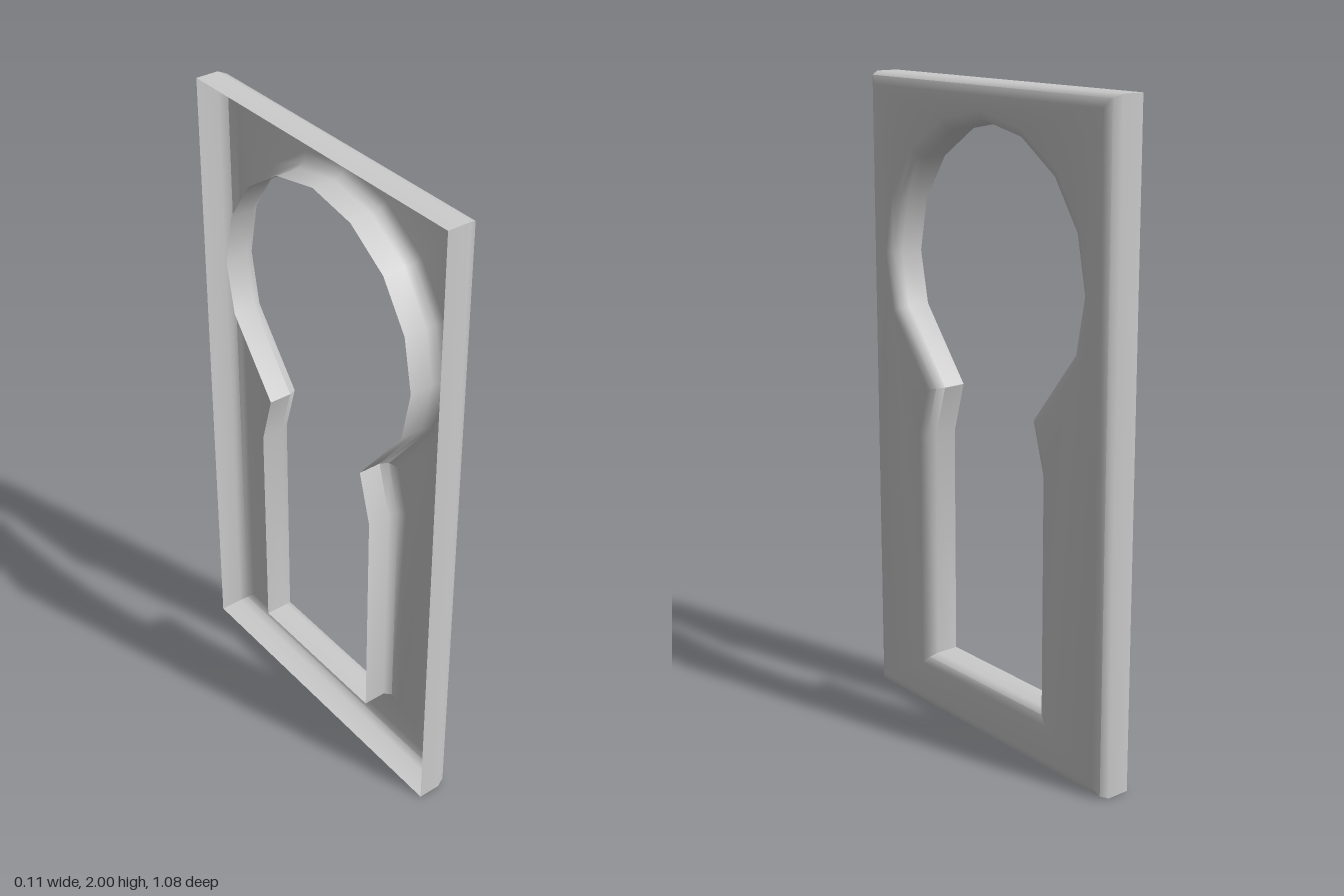
import * as THREE from 'three';
import { mergeGeometries, toCreasedNormals } from 'three/addons/utils/BufferGeometryUtils.js';

const BACK = -0.054, FRONT = 0.054, R = 0.036, STEPS = 2;

// Shift every edge of a closed loop to its left by d, with mitred corners
function offset(loop, d) {
  const n = loop.length;
  return loop.map((p, i) => {
    const a = p.clone().sub(loop[(i + n - 1) % n]).normalize();
    const b = loop[(i + 1) % n].clone().sub(p).normalize();
    const na = new THREE.Vector2(-a.y, a.x), nb = new THREE.Vector2(-b.y, b.x);
    return p.clone().addScaledVector(na.clone().add(nb), d / (1 + na.dot(nb)));
  });
}

// Straight wall that rounds over into the front face
function rim(loop) {
  const rings = [{ pts: loop, z: BACK }];
  for (let k = 0; k <= STEPS; k++) {
    const t = (k / STEPS) * Math.PI / 2;
    rings.push({ pts: offset(loop, R * (1 - Math.cos(t))), z: FRONT - R * (1 - Math.sin(t)) });
  }
  const pos = [];
  for (let k = 0; k + 1 < rings.length; k++) {
    const A = rings[k], B = rings[k + 1];
    loop.forEach((_, i) => {
      const j = (i + 1) % loop.length;
      const corner = (ring, m) => pos.push(ring.pts[m].x, ring.pts[m].y, ring.z);
      corner(A, i); corner(A, j); corner(B, j);
      corner(A, i); corner(B, j); corner(B, i);
    });
  }
  const geo = new THREE.BufferGeometry();
  geo.setAttribute('position', new THREE.Float32BufferAttribute(pos, 3));
  return { geo, inner: rings[rings.length - 1].pts };
}

export function createModel() {
  const V = (x, y) => new THREE.Vector2(x, y);

  // Rectangular outline, counter-clockwise
  const outer = [V(-0.542, 0), V(0.542, 0), V(0.542, 2), V(-0.542, 2)];

  // Keyhole outline, clockwise: round head, pinched neck, straight slot
  const half = [];
  for (let i = 1; i <= 5; i++) {
    const a = i * Math.PI / 8;
    half.push(V(0.427 * Math.sin(a), 1.458 + 0.427 * Math.cos(a)));
  }
  half.push(V(0.217, 1.07), V(0.263, 0.91), V(0.263, 0.182));
  const hole = [V(0, 1.885), ...half, ...half.map(p => V(-p.x, p.y)).reverse()];

  const outerRim = rim(outer), holeRim = rim(hole);

  // Flat front face between the two rounded rims
  const shape = new THREE.Shape(outerRim.inner);
  shape.holes.push(new THREE.Path(holeRim.inner));
  const face = new THREE.ShapeGeometry(shape).toNonIndexed();
  face.deleteAttribute('uv');
  face.deleteAttribute('normal');
  face.translate(0, 0, FRONT);

  // Open-backed shell; enlarged while creasing so that close points stay distinct
  let geo = mergeGeometries([outerRim.geo, holeRim.geo, face]);
  geo.scale(100, 100, 100);
  geo = toCreasedNormals(geo, THREE.MathUtils.degToRad(50));
  geo.scale(0.01, 0.01, 0.01);
  geo.rotateY(Math.PI / 2);

  const plate = new THREE.Mesh(geo, new THREE.MeshStandardMaterial({ color: 0xcccccc, side: THREE.DoubleSide }));
  plate.name = 'keyholePlate';
  const group = new THREE.Group();
  group.name = 'keyholeCover';
  group.add(plate);
  return group;
}
